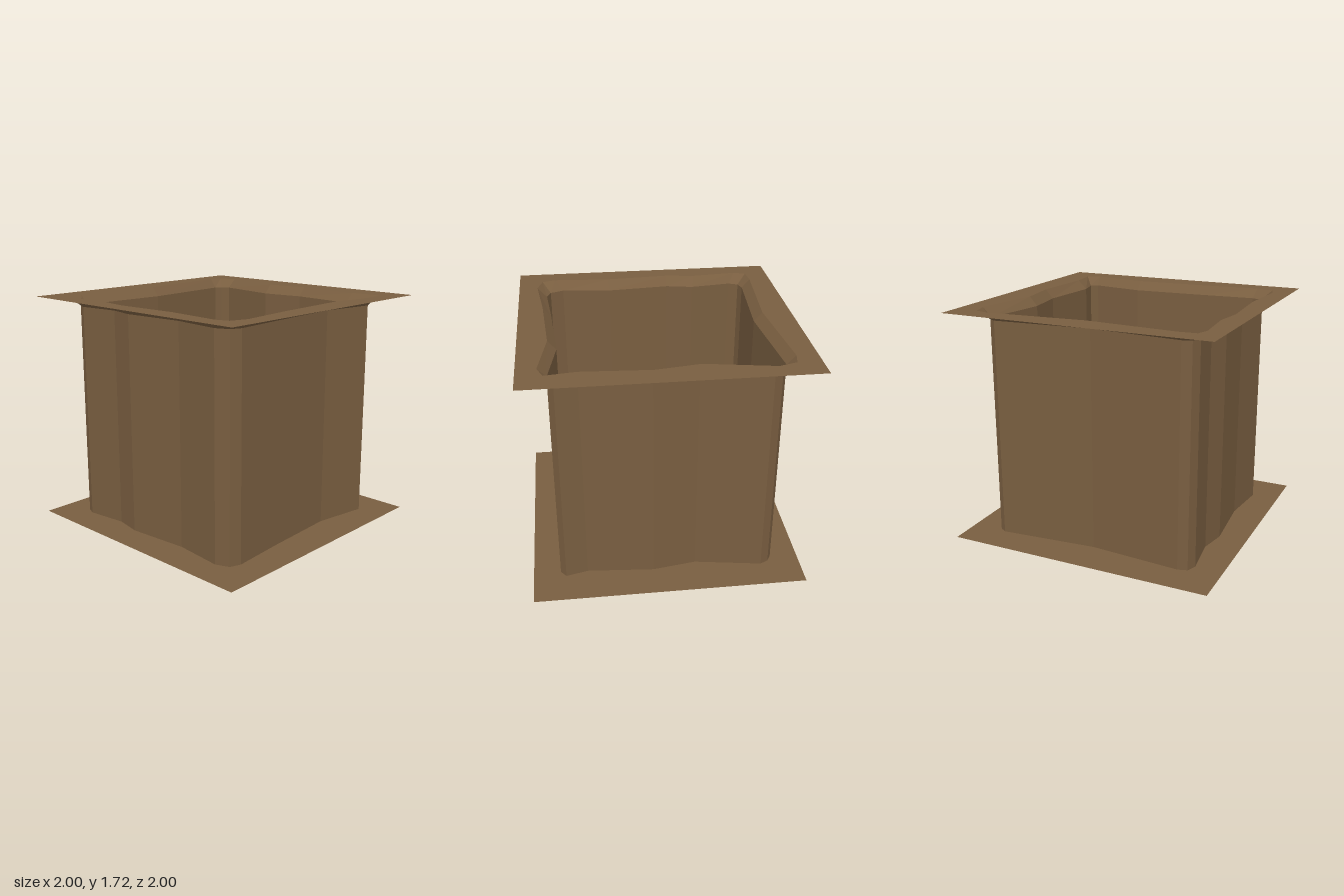
import * as THREE from 'three';

// Wavy opening, as [x, z] around the loop: wall line and the wider lip line
const WALL = [
  [-0.77, -0.76], [-0.70, -0.78], [-0.02, -0.73], [0.71, -0.79], [0.76, -0.76],
  [0.79, -0.70], [0.71, -0.21], [0.76, 0.11], [0.72, 0.60], [0.76, 0.76],
  [0.71, 0.80], [0.30, 0.73], [-0.28, 0.76], [-0.68, 0.79], [-0.76, 0.76],
  [-0.80, 0.66], [-0.76, 0.29], [-0.80, -0.18], [-0.76, -0.38], [-0.80, -0.69],
];
const LIP = [
  [-0.83, -0.83], [-0.70, -0.84], [-0.02, -0.79], [0.72, -0.85], [0.82, -0.83],
  [0.86, -0.70], [0.77, -0.21], [0.82, 0.11], [0.79, 0.60], [0.82, 0.82],
  [0.72, 0.86], [0.30, 0.79], [-0.29, 0.82], [-0.70, 0.86], [-0.83, 0.82],
  [-0.86, 0.72], [-0.83, 0.30], [-0.86, -0.18], [-0.83, -0.40], [-0.86, -0.74],
];
const FLOOR_Y = 0, WALL_BASE_Y = 0.013, WALL_TOP_Y = 1.647, RIM_Y = 1.715;

// Band of quads between two loops at different heights, outward facing
function band(lower, y0, upper, y1) {
  const pos = [];
  const n = lower.length;
  for (let i = 0; i < n; i++) {
    const j = (i + 1) % n;
    const a = [lower[i][0], y0, lower[i][1]], b = [lower[j][0], y0, lower[j][1]];
    const c = [upper[j][0], y1, upper[j][1]], d = [upper[i][0], y1, upper[i][1]];
    pos.push(...a, ...c, ...b, ...a, ...d, ...c);
  }
  const g = new THREE.BufferGeometry();
  g.setAttribute('position', new THREE.Float32BufferAttribute(pos, 3));
  g.computeVertexNormals();
  return g;
}

// Flat 2 x 2 sheet facing up, optionally pierced by a loop
function sheet(y, hole) {
  const shape = new THREE.Shape([[-1, -1], [1, -1], [1, 1], [-1, 1]].map(p => new THREE.Vector2(...p)));
  if (hole) shape.holes.push(new THREE.Path(hole.map(([x, z]) => new THREE.Vector2(x, -z))));
  return new THREE.ShapeGeometry(shape).rotateX(-Math.PI / 2).translate(0, y, 0);
}

export function createModel() {
  const group = new THREE.Group();
  group.name = 'pit';
  const earth = new THREE.MeshStandardMaterial({ color: 0x795e40, side: THREE.DoubleSide, flatShading: true });
  earth.name = 'earth brown';

  const add = (name, geometry) => {
    const mesh = new THREE.Mesh(geometry, earth);
    mesh.name = name;
    group.add(mesh);
  };

  add('floor', sheet(FLOOR_Y));
  add('walls', band(WALL, WALL_BASE_Y, WALL, WALL_TOP_Y));
  add('slopedLip', band(WALL, WALL_TOP_Y, LIP, RIM_Y));
  add('groundRim', sheet(RIM_Y, LIP));
  return group;
}
